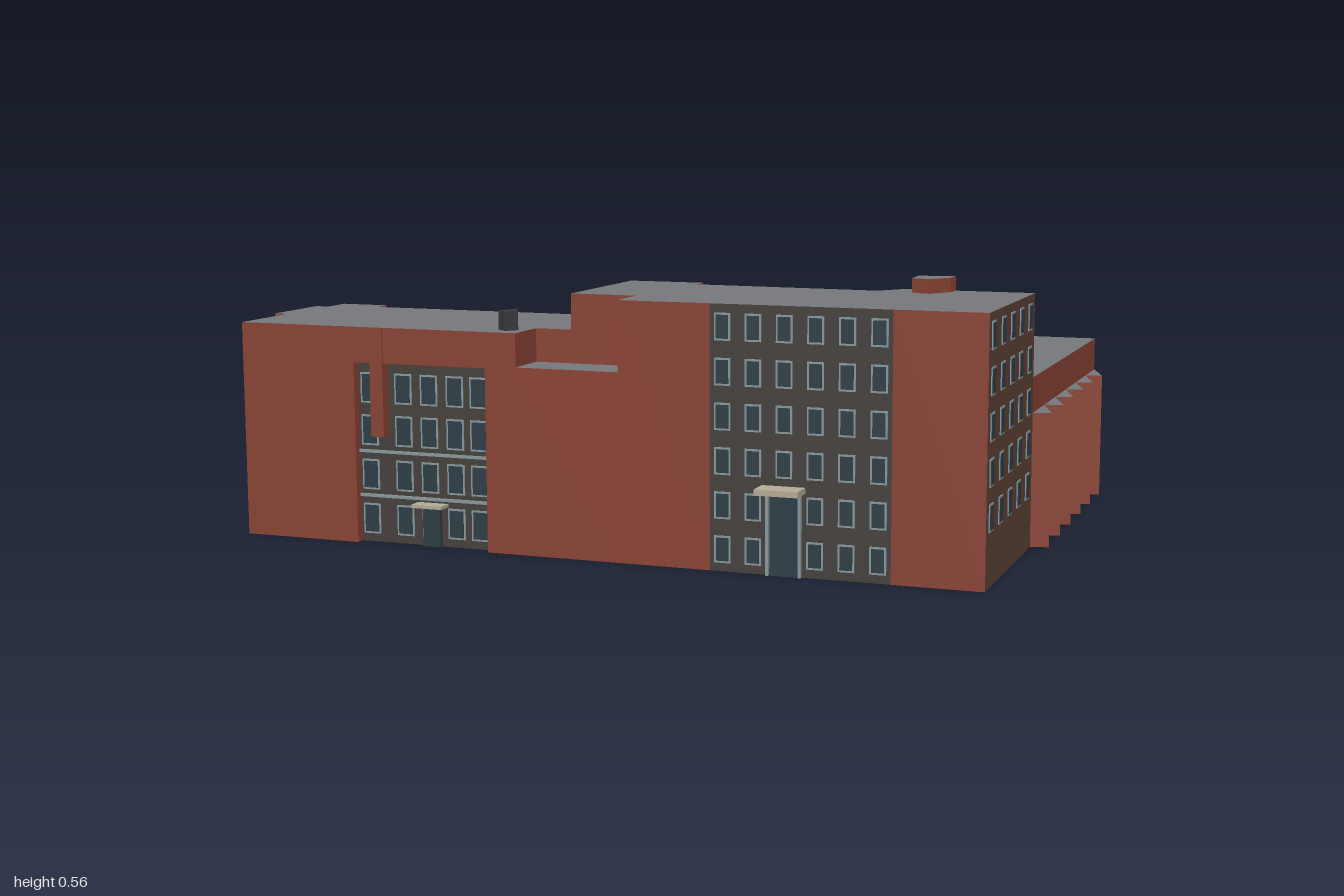
import * as THREE from 'three';

const mat = (color) => new THREE.MeshStandardMaterial({ color, side: THREE.DoubleSide, flatShading: true });
const brick = mat(0x8a4335), roofGrey = mat(0x77787c), brown = mat(0x5c4238), cladding = mat(0x45403c);
const glass = mat(0x2f3d46), frame = mat(0x87979c), stone = mat(0xb5ab98), dark = mat(0x3a3a3d);

export function createModel() {
  const model = new THREE.Group();
  // Local frame: x runs along the long wing from its outer corner, z runs into the building
  const building = new THREE.Group();
  building.name = 'building';
  building.position.set(0.22, 0, 0.695);
  building.rotation.y = Math.atan2(0.659, -0.752);
  model.add(building);

  const add = (name, geo, material) => {
    const mesh = new THREE.Mesh(geo, material);
    mesh.name = name;
    building.add(mesh);
    return mesh;
  };

  // Upright wall following a plan polyline
  const wall = (name, pts, y0, y1, material = brick) => {
    const v = [];
    for (let i = 0; i < pts.length - 1; i++) {
      const [a, b] = pts[i], [c, d] = pts[i + 1];
      v.push(a, y0, b, a, y1, b, c, y1, d, a, y0, b, c, y1, d, c, y0, d);
    }
    const geo = new THREE.BufferGeometry();
    geo.setAttribute('position', new THREE.Float32BufferAttribute(v, 3));
    geo.computeVertexNormals();
    return add(name, geo, material);
  };

  // Flat slab surface over a plan outline
  const roof = (name, pts, y, material = roofGrey) => {
    const shape = new THREE.Shape(pts.map(([s, t]) => new THREE.Vector2(s, -t)));
    const geo = new THREE.ShapeGeometry(shape).rotateX(-Math.PI / 2).translate(0, y, 0);
    return add(name, geo, material);
  };

  const box = (name, s0, s1, y0, y1, t0, t1, material) =>
    add(name, new THREE.BoxGeometry(s1 - s0, y1 - y0, t1 - t0)
      .translate((s0 + s1) / 2, (y0 + y1) / 2, (t0 + t1) / 2), material);

  // Framed window on the long front (t = depth) or on the gable
  const frontWindow = (s, y, w, h, t = 0) => {
    box('windowFrame', s - w / 2, s + w / 2, y - h / 2, y + h / 2, t - 0.002, t + 0.002, frame);
    box('windowGlass', s - w / 2 + 0.004, s + w / 2 - 0.004, y - h / 2 + 0.004, y + h / 2 - 0.004, t - 0.003, t + 0.003, glass);
  };
  const gableWindow = (t, y, w, h) => {
    box('gableWindowFrame', -0.002, 0.002, y - h / 2, y + h / 2, t - w / 2, t + w / 2, frame);
    box('gableWindowGlass', -0.003, 0.003, y - h / 2 + 0.004, y + h / 2 - 0.004, t - w / 2 + 0.004, t + w / 2 - 0.004, glass);
  };

  // Tall block
  const H = 0.535, L = 0.46;
  wall('gableWall', [[0, 0], [0, 0.425]], 0, H, brown);
  wall('frontCornerWall', [[0, 0], [0.186, 0]], 0, H);
  wall('frontWindowPanel', [[0.186, 0], [0.559, 0]], 0, H, cladding);
  wall('frontWall', [[0.559, 0], [0.755, 0]], 0, H);
  wall('tallSideStep', [[0.755, 0], [0.755, 0.1], [0.9, 0.1]], 0.39, H);
  wall('tallSideWall', [[0.9, 0.1], [0.9, 0.385]], L, H);
  wall('tallSideWallBack', [[0.9, 0.385], [0.9, 0.425]], 0.38, H);
  wall('tallBackPier', [[0.9, 0.425], [0.73, 0.425]], 0, H);
  wall('tallBackWall', [[0.73, 0.425], [0.28, 0.425]], 0, 0.455);
  wall('tallBackSetback', [[0.73, 0.425], [0.73, 0.385], [0.32, 0.37], [0.28, 0.425]], 0.455, H);
  wall('tallBackCorner', [[0.28, 0.425], [0, 0.425]], 0, H);
  roof('tallRoof', [[0, 0], [0.755, 0], [0.755, 0.1], [0.9, 0.1], [0.9, 0.425], [0.73, 0.425],
    [0.73, 0.385], [0.32, 0.37], [0.28, 0.425], [0, 0.425]], H);
  roof('tallBackLedge', [[0.73, 0.425], [0.73, 0.385], [0.32, 0.37], [0.28, 0.425]], 0.455);

  // Lower part of the long wing
  wall('terraceFront', [[0.755, 0], [0.98, 0]], 0, 0.39);
  wall('terraceBack', [[0.9, 0.1], [0.98, 0.1], [0.98, 0]], 0.39, L);
  roof('terraceFloor', [[0.755, 0], [0.98, 0], [0.98, 0.1], [0.755, 0.1]], 0.39);
  wall('lowFrontPier', [[0.98, 0], [1.05, 0]], 0, L);
  wall('lowFrontEnd', [[1.355, 0], [1.623, 0]], 0, L);
  wall('lowEndWall', [[1.623, 0], [1.623, 0.18], [1.655, 0.18], [1.655, 0.355], [1.623, 0.355],
    [1.623, 0.425], [1.51, 0.425]], 0, L);
  wall('lowBackWall', [[1.51, 0.425], [0.9, 0.425]], 0, 0.38);
  wall('lowBackSetback', [[1.51, 0.425], [1.51, 0.385], [0.9, 0.385]], 0.38, L);
  roof('lowBackLedge', [[1.51, 0.425], [1.51, 0.385], [0.9, 0.385], [0.9, 0.425]], 0.38);
  roof('lowRoof', [[0.9, 0.1], [0.98, 0.1], [0.98, 0], [1.623, 0], [1.623, 0.18], [1.655, 0.18],
    [1.655, 0.355], [1.623, 0.355], [1.623, 0.425], [1.51, 0.425], [1.51, 0.385], [0.9, 0.385]], L);

  // Recessed glazed bay with brick band above
  const R = 0.02;
  wall('bayBand', [[1.05, 0], [1.355, 0]], 0.385, L);
  roof('baySoffit', [[1.05, 0], [1.355, 0], [1.355, R], [1.05, R]], 0.385, brick);
  wall('bayCheekInner', [[1.05, 0], [1.05, R]], 0, 0.385);
  wall('bayCheekOuter', [[1.355, 0], [1.355, R]], 0, 0.385);
  wall('bayPanel', [[1.05, R], [1.355, R]], 0, 0.385, cladding);
  for (const s of [1.075, 1.13, 1.19, 1.25, 1.33])
    for (const y of [0.05, 0.145, 0.24, 0.33]) frontWindow(s, y, 0.04, 0.065, R);
  for (const y of [0.1, 0.195]) box('baySill', 1.05, 1.355, y - 0.003, y + 0.003, R - 0.006, R, frame);
  box('bayPost', 1.285, 1.315, 0.23, L, -0.004, R, brick);
  box('bayDoor', 1.165, 1.205, 0, 0.085, R - 0.01, R, glass);
  box('bayDoorCanopy', 1.15, 1.22, 0.085, 0.092, -0.012, R, stone);

  // Window grids
  for (let c = 0; c < 6; c++)
    for (let r = 0; r < 6; r++) frontWindow(0.212 + c * 0.064, 0.045 + r * 0.089, 0.034, 0.055);
  for (let c = 0; c < 5; c++)
    for (let r = 0; r < 5; r++) gableWindow(0.038 + c * 0.085, 0.138 + r * 0.088, 0.034, 0.055);

  // Main entrance
  box('entranceDoor', 0.375, 0.43, 0, 0.165, -0.006, 0.002, glass);
  box('entranceCanopy', 0.36, 0.45, 0.168, 0.18, -0.05, 0, stone);
  for (const s of [0.37, 0.437]) box('entranceJamb', s - 0.003, s + 0.003, 0, 0.168, -0.008, 0, frame);

  // Rooftop chimney and vent
  const chimney = [[0.235, 0.344], [0.31, 0.31], [0.275, 0.37], [0.25, 0.385], [0.165, 0.395], [0.175, 0.375]];
  const toLocal = ([x, z]) => [-(x - 0.22) * 0.752 - (z - 0.695) * 0.659, (x - 0.22) * 0.659 - (z - 0.695) * 0.752];
  const stack = [[0.27, 0.27], [0.31, 0.22], [0.375, 0.265], [0.35, 0.29], [0.29, 0.31]].map(toLocal);
  wall('chimneyWalls', [...stack, stack[0]], H, 0.565);
  roof('chimneyTop', stack, 0.565);
  const vent = [[-0.53, -0.03], [-0.485, -0.05], [-0.495, -0.005], [-0.525, 0]].map(toLocal);
  wall('ventWalls', [...vent, vent[0]], L, 0.5, dark);
  roof('ventTop', vent, 0.5, dark);

  // Side wing: high outer half, low inner half
  const W = 0.36, B = 0.285;
  wall('wingUpperOuterWall', [[0, 0.425], [0, 1.17]], B, W);
  wall('wingEndWall', [[0, 1.17], [0.126, 1.17]], 0, W);
  wall('wingUpperInnerWall', [[0.126, 1.17], [0.175, 1.17], [0.175, 0.425]], B, W);
  roof('wingHighRoof', [[0, 0.425], [0, 1.17], [0.175, 1.17], [0.175, 0.425]], W);
  wall('wingLowWall', [[0.126, 1.17], [0.126, 1.203], [0.28, 1.203], [0.28, 0.425]], 0, B);
  roof('wingLowRoof', [[0.126, 1.17], [0.126, 1.203], [0.28, 1.203], [0.28, 0.425], [0.175, 0.425], [0.175, 1.17]], B);
  box('wingParapet', 0.258, 0.28, B, 0.3, 0.92, 1.16, brick);

  // Saw-tooth bays along the outer side of the wing
  const step = 0.745 / 6;
  for (let i = 0; i < 6; i++) {
    const t = 0.425 + i * step;
    const tooth = [[0, t], [-0.038, t + 0.012], [0, t + step]];
    wall('sawToothBay', tooth, 0, B);
    roof('sawToothTop', tooth, B);
  }
  return model;
}
